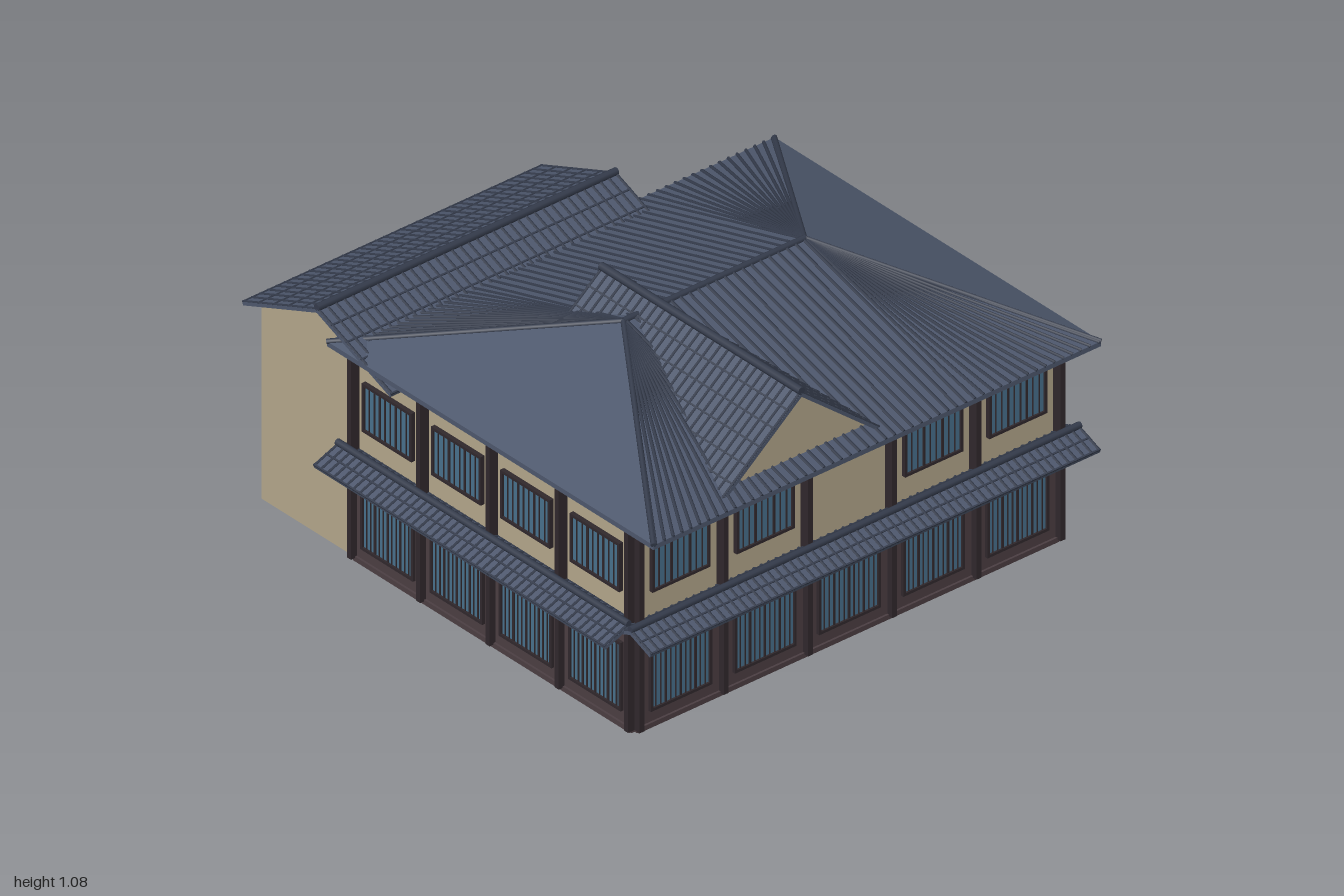
import * as THREE from 'three';
import { mergeGeometries } from 'three/addons/utils/BufferGeometryUtils.js';

const mat = (color, opts = {}) => new THREE.MeshStandardMaterial({ color, ...opts });
const plaster = mat(0xb3a68a);
const timber = mat(0x4b3e42);
const darkWood = mat(0x30282c);
const glass = mat(0x48708c);
const tile = mat(0x4d576c, { flatShading: true });
const tileDark = mat(0x343b4b);

const V = (x, y, z) => new THREE.Vector3(x, y, z);

function mesh(name, geo, material) {
  const m = new THREE.Mesh(geo, material);
  m.name = name;
  return m;
}

const boxGeo = (w, h, d, x, y, z) => new THREE.BoxGeometry(w, h, d).translate(x, y, z);

// Cylinder running between two points
function rodGeo(a, b, r, sides = 6) {
  const dir = b.clone().sub(a);
  const q = new THREE.Quaternion().setFromUnitVectors(V(0, 1, 0), dir.clone().normalize());
  const mid = a.clone().add(b).multiplyScalar(0.5);
  return new THREE.CylinderGeometry(r, r, dir.length(), sides)
    .applyQuaternion(q).translate(mid.x, mid.y, mid.z);
}

// Gable roof: ridge along local x at y = 0, both slopes falling away from it
function gableRoof(name, len, half, rise, ribs, courses, ridgeR) {
  const group = new THREE.Group();
  group.name = name;
  const slopeLen = Math.hypot(half, rise), angle = Math.atan2(rise, half);
  for (const turn of [0, Math.PI]) {
    const side = new THREE.Group();
    const slope = new THREE.Group();
    side.name = 'roofSide';
    slope.name = 'roofSlope';
    side.rotation.y = turn;
    slope.rotation.x = angle;
    slope.add(mesh('tileSlab', boxGeo(len, 0.012, slopeLen, 0, -0.006, slopeLen / 2), tile));
    const lines = [];
    for (let i = 0; i <= ribs; i++) {
      const x = -len / 2 + 0.005 + (len - 0.01) * i / ribs;
      lines.push(rodGeo(V(x, 0, 0), V(x, 0, slopeLen), 0.005));
    }
    for (let i = 1; i <= courses; i++)
      lines.push(boxGeo(len, 0.005, 0.006, 0, 0.001, slopeLen * i / courses - 0.003));
    slope.add(mesh('tileRibs', mergeGeometries(lines), tileDark));
    side.add(slope);
    group.add(side);
  }
  group.add(mesh('ridgeCap', rodGeo(V(-len / 2, 0.006, 0), V(len / 2, 0.006, 0), ridgeR, 8), tileDark));
  return group;
}

// Framed window with vertical slats, centred on x, facing +z
function slattedWindow(name, x, y0, y1, w, slats) {
  const group = new THREE.Group();
  group.name = name;
  const h = y1 - y0, yc = (y0 + y1) / 2, t = 0.01;
  group.add(mesh('windowPane', boxGeo(w, h, 0.006, x, yc, 0.014), glass));
  const bars = [
    boxGeo(w + t, t, 0.016, x, y0, 0.016), boxGeo(w + t, t, 0.016, x, y1, 0.016),
    boxGeo(t, h, 0.016, x - w / 2, yc, 0.016), boxGeo(t, h, 0.016, x + w / 2, yc, 0.016),
  ];
  for (let i = 1; i < slats; i++) {
    const thick = i % 3 === 0 ? 0.008 : 0.003;
    bars.push(boxGeo(thick, h, 0.01, x - w / 2 + w * i / slats, yc, 0.016));
  }
  group.add(mesh('windowFrame', mergeGeometries(bars), darkWood));
  return group;
}

// Two-storey timber facade of equal bays, wall plane at z = 0
function facade(name, width, bays, blankBay) {
  const group = new THREE.Group();
  group.name = name;
  const bay = width / bays;
  group.add(mesh('lowerPanel', boxGeo(width, 0.385, 0.012, 0, 0.1925, 0.006), timber));
  const posts = [];
  for (let i = 0; i <= bays; i++)
    posts.push(boxGeo(0.02, 0.75, 0.036, -width / 2 + bay * i, 0.39, 0.018));
  group.add(mesh('posts', mergeGeometries(posts), darkWood));
  group.add(mesh('beams', mergeGeometries([
    boxGeo(width, 0.018, 0.024, 0, 0.757, 0.012),
    boxGeo(width, 0.02, 0.024, 0, 0.375, 0.012),
    boxGeo(width, 0.018, 0.02, 0, 0.012, 0.01),
  ]), timber));
  for (let i = 0; i < bays; i++) {
    const x = -width / 2 + bay * (i + 0.5);
    group.add(slattedWindow('lowerWindow', x, 0.07, 0.315, 0.245, 12));
    if (i !== blankBay) group.add(slattedWindow('upperWindow', x, 0.51, 0.68, 0.23, 9));
  }
  return group;
}

// Triangular prism with its length along z
function gablePrism(name, half, height, depth) {
  const s = new THREE.Shape([
    new THREE.Vector2(-half, 0), new THREE.Vector2(half, 0), new THREE.Vector2(0, height)]);
  return mesh(name, new THREE.ExtrudeGeometry(s, { depth, bevelEnabled: false }), plaster);
}

// Hipped roof: eave slab, four slopes, fanned tile ribs, ridge and hip caps
function hipRoof() {
  const group = new THREE.Group();
  group.name = 'mainRoof';
  const x0 = -0.88, x1 = 0.97, z0 = -0.59, z1 = 0.99, ye = 0.785, yr = 1.015;
  const a = V(x0, ye, z1), b = V(x1, ye, z1), c = V(x1, ye, z0), d = V(x0, ye, z0);
  const l = V(-0.33, yr, 0.2), r = V(0.42, yr, 0.2);
  const faces = [a, b, r, a, r, l, b, c, r, c, d, l, c, l, r, d, a, l];
  const geo = new THREE.BufferGeometry().setFromPoints(faces);
  geo.computeVertexNormals();
  group.add(mesh('roofSlopes', geo, tile));
  group.add(mesh('eaves', boxGeo(x1 - x0, 0.018, z1 - z0, (x0 + x1) / 2, ye - 0.009, (z0 + z1) / 2), tile));

  const ribs = [];
  const n = 50;
  for (const z of [z0, z1]) {
    for (let i = 0; i <= n; i++) {
      const x = x0 + 0.008 + (x1 - x0 - 0.016) * i / n;
      const top = V(THREE.MathUtils.clamp(x, l.x, r.x), yr, 0.2);
      ribs.push(rodGeo(V(x, ye, z), top, 0.006));
    }
  }
  group.add(mesh('tileRibs', mergeGeometries(ribs), tileDark));
  const caps = [rodGeo(l, r, 0.011, 8)];
  for (const [p, q] of [[a, l], [d, l], [b, r], [c, r]]) caps.push(rodGeo(p, q, 0.009, 8));
  group.add(mesh('ridgeAndHipCaps', mergeGeometries(caps), tileDark));
  return group;
}

export function createModel() {
  const model = new THREE.Group();
  model.name = 'townhouse';

  // Walls
  model.add(mesh('mainWalls', boxGeo(1.74, 0.77, 1.34, 0.04, 0.385, 0.17), plaster));
  model.add(mesh('rearWingWalls', boxGeo(1.14, 0.74, 0.47, -0.26, 0.37, -0.73), plaster));

  // Timber facades on the front and the -x side
  const front = facade('frontFacade', 1.74, 5, 2);
  front.position.set(0.04, 0, 0.84);
  const side = facade('sideFacade', 1.34, 4, -1);
  side.rotation.y = -Math.PI / 2;
  side.position.set(-0.83, 0, 0.17);
  model.add(front, side);

  // Main roof
  model.add(hipRoof());

  // Front gable with its cross roof
  const gable = gablePrism('frontGable', 0.315, 0.262, 0.91);
  gable.position.set(-0.225, 0.785, 0);
  const gableTop = gableRoof('frontGableRoof', 0.97, 0.34, 0.275, 28, 6, 0.014);
  gableTop.rotation.y = Math.PI / 2;
  gableTop.position.set(-0.225, 1.06, 0.455);
  model.add(gable, gableTop);

  // Rear wing gable and roof
  const wingGable = gablePrism('rearWingGable', 0.33, 0.135, 1.14);
  wingGable.rotation.y = Math.PI / 2;
  wingGable.position.set(-0.83, 0.735, -0.64);
  const wingRoof = gableRoof('rearWingRoof', 1.24, 0.36, 0.145, 36, 5, 0.013);
  wingRoof.position.set(-0.26, 0.88, -0.64);
  model.add(wingGable, wingRoof);

  // Pent roofs between the storeys
  const frontPent = gableRoof('frontPentRoof', 1.86, 0.1, 0.04, 60, 2, 0.012);
  frontPent.position.set(0.03, 0.43, 0.9);
  const sidePent = gableRoof('sidePentRoof', 1.41, 0.1, 0.04, 45, 2, 0.012);
  sidePent.rotation.y = Math.PI / 2;
  sidePent.position.set(-0.88, 0.43, 0.165);
  model.add(frontPent, sidePent);

  return model;
}
